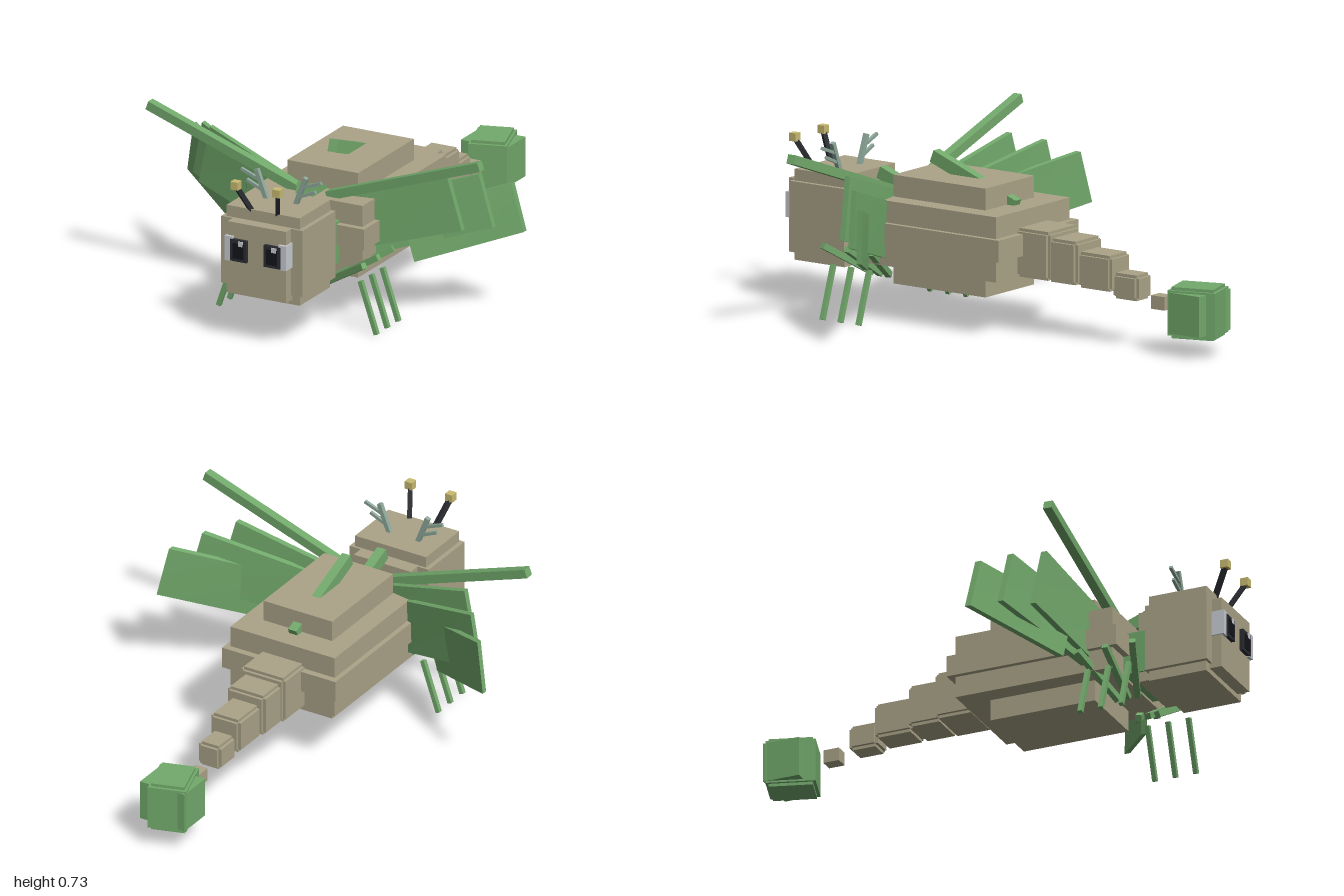
import * as THREE from 'three';

const mat = (name, color) => {
  const m = new THREE.MeshStandardMaterial({ color });
  m.name = name;
  return m;
};

export function createModel() {
  const tan = mat('tan', 0xaba488);
  const green = mat('leaf green', 0x73aa6c);
  const dark = mat('charcoal', 0x2b2d32);
  const black = mat('black', 0x141519);
  const yellow = mat('straw yellow', 0xc9bb72);
  const pale = mat('pale sage', 0x8fa99b);
  const white = mat('pale grey', 0xc9ccd2);

  const model = new THREE.Group();
  model.name = 'dragonfly';
  const add = (name, geo, m, parent = model) => {
    const mesh = new THREE.Mesh(geo, m);
    mesh.name = name;
    parent.add(mesh);
    return mesh;
  };
  // Box given by its extents
  const block = (name, m, [x0, x1], [y0, y1], [z0, z1], parent) => {
    const mesh = add(name, new THREE.BoxGeometry(x1 - x0, y1 - y0, z1 - z0), m, parent);
    mesh.position.set((x0 + x1) / 2, (y0 + y1) / 2, (z0 + z1) / 2);
    return mesh;
  };
  // Square rod between two points
  const rod = (name, m, a, b, w, h = w) => {
    const p = new THREE.Vector3(...a), q = new THREE.Vector3(...b);
    const mesh = add(name, new THREE.BoxGeometry(w, h, p.distanceTo(q)), m);
    mesh.position.copy(p).add(q).multiplyScalar(0.5);
    mesh.lookAt(q);
    return mesh;
  };
  // Three crossed boxes that read as one block with stepped edges
  const stepped = (name, m, w, [y0, y1], [z0, z1], s) => {
    const g = new THREE.Group();
    g.name = name;
    model.add(g);
    for (let i = 0; i < 3; i++) {
      const [a, b, c] = [0, 1, 2].map(k => (k === i ? 0 : s));
      block(name + 'Layer', m, [-w + a, w - a], [y0 + b, y1 - b], [z0 + c, z1 - c], g);
    }
  };

  // Head
  block('headSides', tan, [-0.178, 0.178], [0.22, 0.49], [0.68, 0.94]);
  block('headCrown', tan, [-0.16, 0.16], [0.18, 0.535], [0.69, 0.93]);
  block('headFace', tan, [-0.128, 0.128], [0.2, 0.49], [0.63, 0.98]);

  // Neck
  block('neck', green, [-0.135, 0.135], [0.24, 0.41], [0.55, 0.69]);

  // Stacked body slabs: half width, y range, z range
  [
    [0.155, [0.145, 0.235], [0.02, 0.46]],
    [0.235, [0.23, 0.315], [-0.09, 0.57]],
    [0.255, [0.315, 0.4], [-0.118, 0.595]],
    [0.235, [0.4, 0.485], [-0.09, 0.57]],
    [0.155, [0.485, 0.57], [0.02, 0.46]],
  ].forEach(([w, y, z]) => block('bodySlab', tan, [-w, w], y, z));

  // Tapering tail
  [
    [0.1, [0.23, 0.42], [-0.24, -0.08]],
    [0.085, [0.225, 0.395], [-0.36, -0.22]],
    [0.066, [0.215, 0.355], [-0.51, -0.35]],
    [0.05, [0.19, 0.29], [-0.625, -0.505]],
  ].forEach(([w, y, z]) => stepped('tailSegment', tan, w, y, z, 0.012));
  block('tailTip', tan, [-0.027, 0.027], [0.167, 0.22], [-0.74, -0.675]);

  // Tail bulb of boxes turned against each other
  block('tailBulbCore', green, [-0.1, 0.1], [0.1, 0.26], [-0.96, -0.81]);
  block('tailBulbSide', green, [-0.076, 0.076], [0.092, 0.268], [-0.977, -0.783]).rotation.y = 0.3;
  block('tailBulbCap', green, [-0.066, 0.066], [0.08, 0.28], [-0.965, -0.795]).rotation.y = 0.3;

  // Slanting back spines
  rod('frontSpine', green, [0, 0.535, 0.635], [0, 0.39, 0.25], 0.038, 0.05);
  rod('rearSpine', green, [0, 0.63, 0.38], [0, 0.482, -0.012], 0.038, 0.05);

  // Feather slab: corners are inner bottom, inner top, outer bottom, outer top
  const feather = (c, s) => {
    const geo = new THREE.BoxGeometry(1, 1, 1);
    const p = geo.attributes.position;
    for (let i = 0; i < p.count; i++) {
      const outer = p.getX(i) * s > 0, top = p.getY(i) > 0;
      const [x, y, z] = c[(outer ? 2 : 0) + (top ? 1 : 0)];
      p.setXYZ(i, x * s, y, z + p.getZ(i) * 0.024);
    }
    geo.computeVertexNormals();
    add('wingFeather', geo, green);
  };
  const feathers = [
    [[0.15, 0.27, 0.48], [0.1, 0.5, 0.485], [0.575, 0.39, 0.39], [0.515, 0.63, 0.41]],
    [[0.2, 0.25, 0.465], [0.15, 0.46, 0.475], [0.655, 0.385, 0.29], [0.605, 0.6, 0.31]],
    [[0.385, 0.24, 0.42], [0.335, 0.44, 0.44], [0.735, 0.35, 0.19], [0.695, 0.55, 0.215]],
  ];

  for (const s of [1, -1]) {
    // Wings
    rod('wingSpar', green, [s * 0.06, 0.485, 0.522], [s * 0.725, 0.717, 0.522], 0.036);
    feathers.forEach(c => feather(c, s));

    // Jointed legs fanned front to back
    for (const k of [-1, 0, 1]) {
      rod('upperLeg', green, [s * 0.09, 0.16, 0.57 + k * 0.04],
        [s * 0.305, 0.29, 0.57 + k * 0.115], 0.024);
      rod('lowerLeg', green, [s * 0.275, 0.215, 0.571 + k * 0.086],
        [s * 0.345, 0.01, 0.571 + k * 0.086], 0.018);
    }

    // Antennae
    rod('antennaStalk', dark, [s * 0.058, 0.53, 0.92], [s * 0.09, 0.635, 0.978], 0.018);
    const tip = block('antennaTip', yellow, [-0.016, 0.016], [-0.016, 0.016], [-0.016, 0.016]);
    tip.position.set(s * 0.091, 0.643, 0.98);

    // Branched feelers
    rod('feelerStalk', pale, [s * 0.06, 0.52, 0.787], [s * 0.108, 0.645, 0.787], 0.018);
    [[0.075, 0.562, 0.15], [0.09, 0.602, 0.175]].forEach(([x, y, x1]) =>
      rod('feelerBranch', pale, [s * x, y, 0.787], [s * x1, y + 0.033, 0.787], 0.012));

    // Eyes
    const side = (a, b) => (s > 0 ? [a, b] : [-b, -a]);
    block('eyeRim', white, side(0.1, 0.134), [0.335, 0.435], [0.94, 0.992]);
    block('eye', dark, side(0.038, 0.11), [0.338, 0.426], [0.978, 0.995]);
    block('pupil', black, side(0.05, 0.096), [0.35, 0.412], [0.993, 0.998]);
    const gx = s > 0 ? 0.084 : -0.062;
    block('eyeGlint', white, [gx - 0.01, gx + 0.01], [0.402, 0.422], [0.996, 1.0]);
  }
  return model;
}
